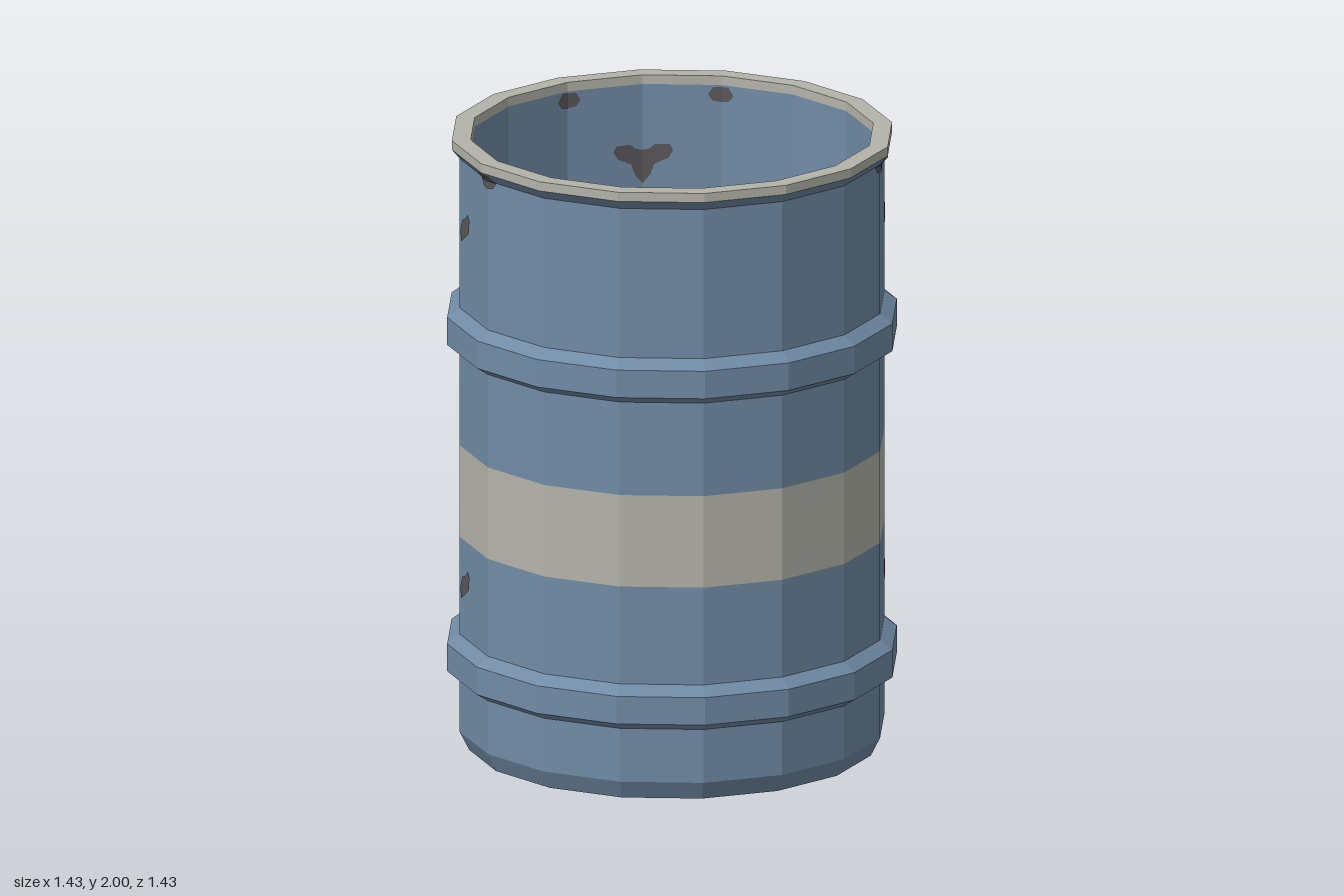
import * as THREE from 'three';

const SIDES = 16;
const HALF = Math.PI / SIDES;

export function createModel() {
  const barrel = new THREE.Group();
  barrel.name = 'barrel';

  const paint = (name, color, side = THREE.FrontSide) => {
    const m = new THREE.MeshStandardMaterial({ color, flatShading: true, side });
    m.name = name;
    return m;
  };
  const blue = paint('blue paint', 0x708ba5);
  const cream = paint('cream paint', 0xb4b3aa);
  const dark = paint('dark rust', 0x5a565a, THREE.DoubleSide);

  // Sixteen-sided surface from a [radius, height] profile
  const ringed = (name, profile, material) => {
    const points = profile.map(([r, y]) => new THREE.Vector2(r, y));
    const mesh = new THREE.Mesh(new THREE.LatheGeometry(points, SIDES), material);
    mesh.name = name;
    barrel.add(mesh);
  };

  const R = 0.675, RIB = 0.715, RIM = 0.7, INNER = 0.64;
  const rib = (y) => [[R, y], [RIB, y + 0.026], [RIB, y + 0.116], [R, y + 0.146]];

  // Shell, painted band, rim, inside
  ringed('lowerShell', [[0, 0], [0.645, 0], [R, 0.06], ...rib(0.235), [R, 0.7]], blue);
  ringed('paintedBand', [[R, 0.7], [R, 1]], cream);
  ringed('upperShell', [[R, 1], ...rib(1.305), [R, 1.94], [RIM, 1.97]], blue);
  ringed('rim', [[RIM, 1.97], [RIM, 2], [INNER, 2], [INNER, 1.97]], cream);
  ringed('innerWall', [[INNER, 1.97], [INNER, 0.05]], blue);
  ringed('innerFloor', [[INNER, 0.05], [0, 0.05]], dark);

  // Thin patch on one facet: points are [fraction of half width, height]
  const patch = (name, facet, points, radiusAt, lift = 0.004) => {
    const shape = new THREE.Shape(points.map(([t, y]) => new THREE.Vector2(t, y)));
    const geo = new THREE.ShapeGeometry(shape);
    const p = geo.attributes.position;
    for (let i = 0; i < p.count; i++) {
      const r = radiusAt(p.getY(i)) + lift;
      p.setXYZ(i, p.getX(i) * r * Math.sin(HALF), p.getY(i), r * Math.cos(HALF));
    }
    geo.computeVertexNormals();
    const mesh = new THREE.Mesh(geo, dark);
    mesh.name = name;
    mesh.rotation.y = (2 * facet + 1) * HALF;
    barrel.add(mesh);
  };
  const mirror = (points) => points.map(([t, y]) => [-t, y]);
  const raise = (points, dy) => points.map(([t, y]) => [t, y + dy]);

  // Rust spots on the walls, outside and inside
  const spot = [[0.22, 0.04], [0.34, 0.055], [0.52, 0.035], [0.72, 0.025],
    [0.85, -0.01], [0.83, -0.05], [0.62, -0.035], [0.28, -0.005]];
  const lobe = [[1, 0.03], [0.82, 0.035], [0.68, 0.05], [0.3, 0.05],
    [0.22, 0.03], [0.35, 0.005], [0.7, -0.015], [0.8, -0.05], [1, -0.08]];
  for (const y of [0.555, 1.725]) {
    for (const [r, lift] of [[R, 0.004], [INNER, -0.004]]) {
      const wall = () => r;
      patch('rustSpot', 1, raise(spot, y), wall, lift);
      patch('rustSpot', 10, raise(mirror(spot), y), wall, lift);
      patch('rustCorner', 5, raise(lobe, y), wall, lift);
      patch('rustCorner', 6, raise(mirror(lobe), y), wall, lift);
    }
  }

  // Rust under the rim, folded around four corners
  const flare = (y) => R + Math.max(0, y - 1.94) * (RIM - R) / 0.03;
  const upper = [[1, 1.94], [1, 1.965], [0.8, 1.965], [0.66, 1.94]];
  const lower = [[1, 1.94], [0.66, 1.94], [0.78, 1.92], [1, 1.915]];
  for (const corner of [1, 5, 7, 11]) {
    for (const part of [upper, lower]) {
      patch('rimRust', corner - 1, part, flare);
      patch('rimRust', corner, mirror(part), flare);
      patch('innerRimRust', corner - 1, part, () => INNER, -0.004);
      patch('innerRimRust', corner, mirror(part), () => INNER, -0.004);
    }
  }

  // Rust on the slopes of the two ribs
  for (const base of [0.235, 1.305]) {
    const slopes = [
      [base, base + 0.026, R, RIB],
      [base + 0.116, base + 0.146, RIB, R],
    ];
    for (const [y0, y1, r0, r1] of slopes) {
      const slope = (y) => r0 + (r1 - r0) * (y - y0) / (y1 - y0);
      const strip = [[0.45, y0], [1, y0], [1, y1], [0.5, y1]];
      patch('ribRust', 5, strip, slope);
      patch('ribRust', 6, mirror(strip), slope);
    }
  }

  return barrel;
}
